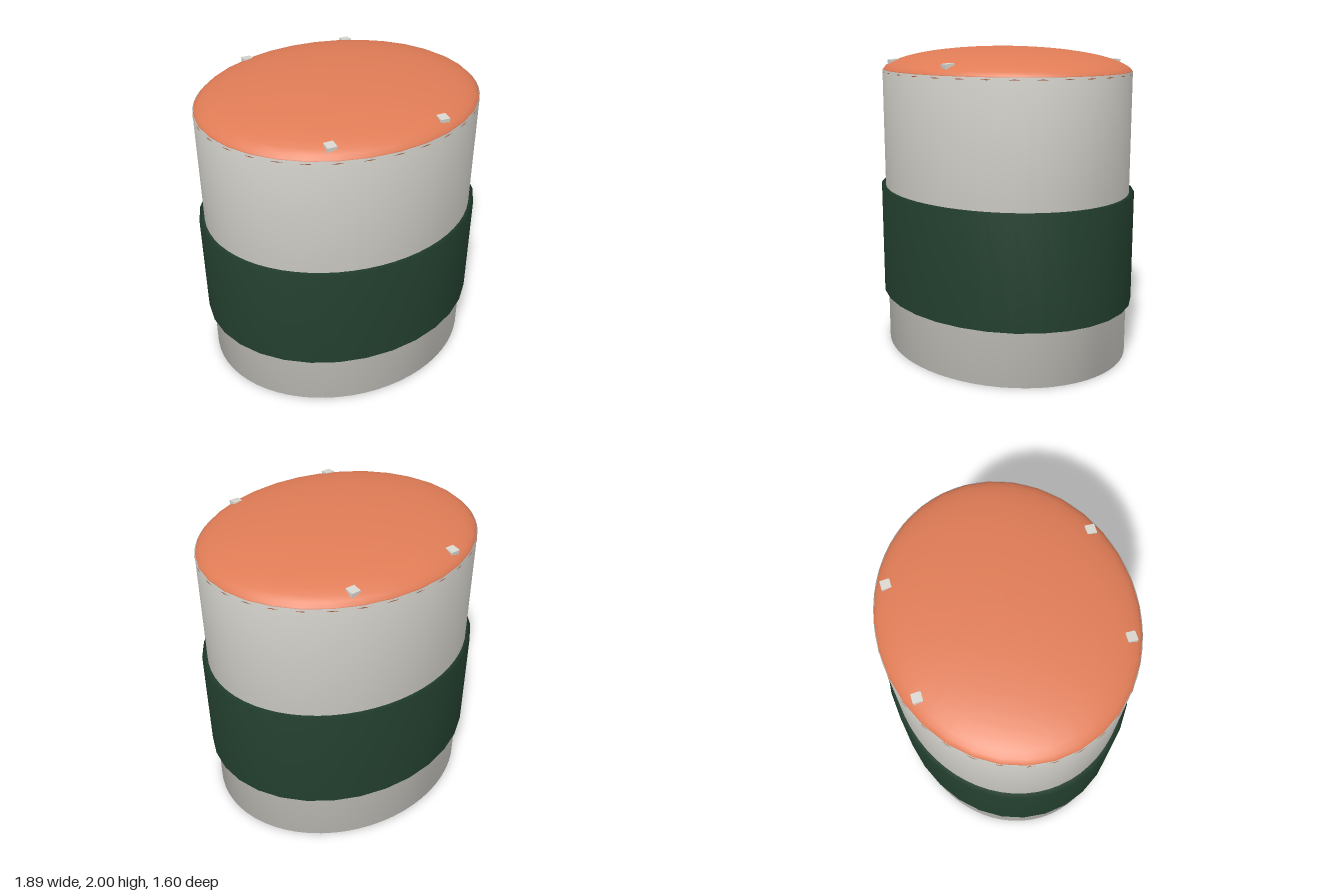
import * as THREE from 'three';

const RX = 0.91, DEPTH = 0.846; // half width, and depth relative to width

function material(name, hex) {
  const m = new THREE.MeshStandardMaterial({ color: hex });
  m.name = name;
  return m;
}

// Oval solid of revolution from [radius, height] pairs
function oval(name, points, sides, mat) {
  const profile = points.map(([r, y]) => new THREE.Vector2(r, y));
  const mesh = new THREE.Mesh(new THREE.LatheGeometry(profile, sides).scale(1, 1, DEPTH), mat);
  mesh.name = name;
  return mesh;
}

export function createModel() {
  const group = new THREE.Group();
  group.name = 'ovalCanister';
  const white = material('warm white', 0xd8d6cf);
  const green = material('dark green', 0x23402f);
  const orange = material('coral orange', 0xe07c56);

  // Closed oval body, softly shaded into its base
  group.add(oval('body', [[0, 0], [RX, 0], [RX, 1.85], [0.88, 1.85]], 64, white));

  // Wide raised band
  group.add(oval('band', [[0.9, 0.36], [0.945, 0.36], [0.945, 1.08], [0.9, 1.08]], 32, green));

  // Shallow domed lid, its widest corners just showing through the rim
  const dome = [[0.86, 1.8]];
  for (let i = 0; i <= 12; i++) {
    const a = (i / 12) * Math.PI / 2;
    dome.push([0.912 * Math.cos(a), 1.835 + 0.165 * Math.sin(a)]);
  }
  group.add(oval('lid', dome, 32, orange));

  // Four small studs sunk into the lid
  const studShape = new THREE.BoxGeometry(0.06, 0.055, 0.06);
  for (const x of [-0.36, 0.36]) {
    for (const z of [-0.627, 0.627]) {
      const stud = new THREE.Mesh(studShape, white);
      stud.name = 'lidStud';
      stud.position.set(x, 1.889, z);
      stud.rotation.x = Math.sign(z) * 0.1;
      group.add(stud);
    }
  }
  return group;
}
